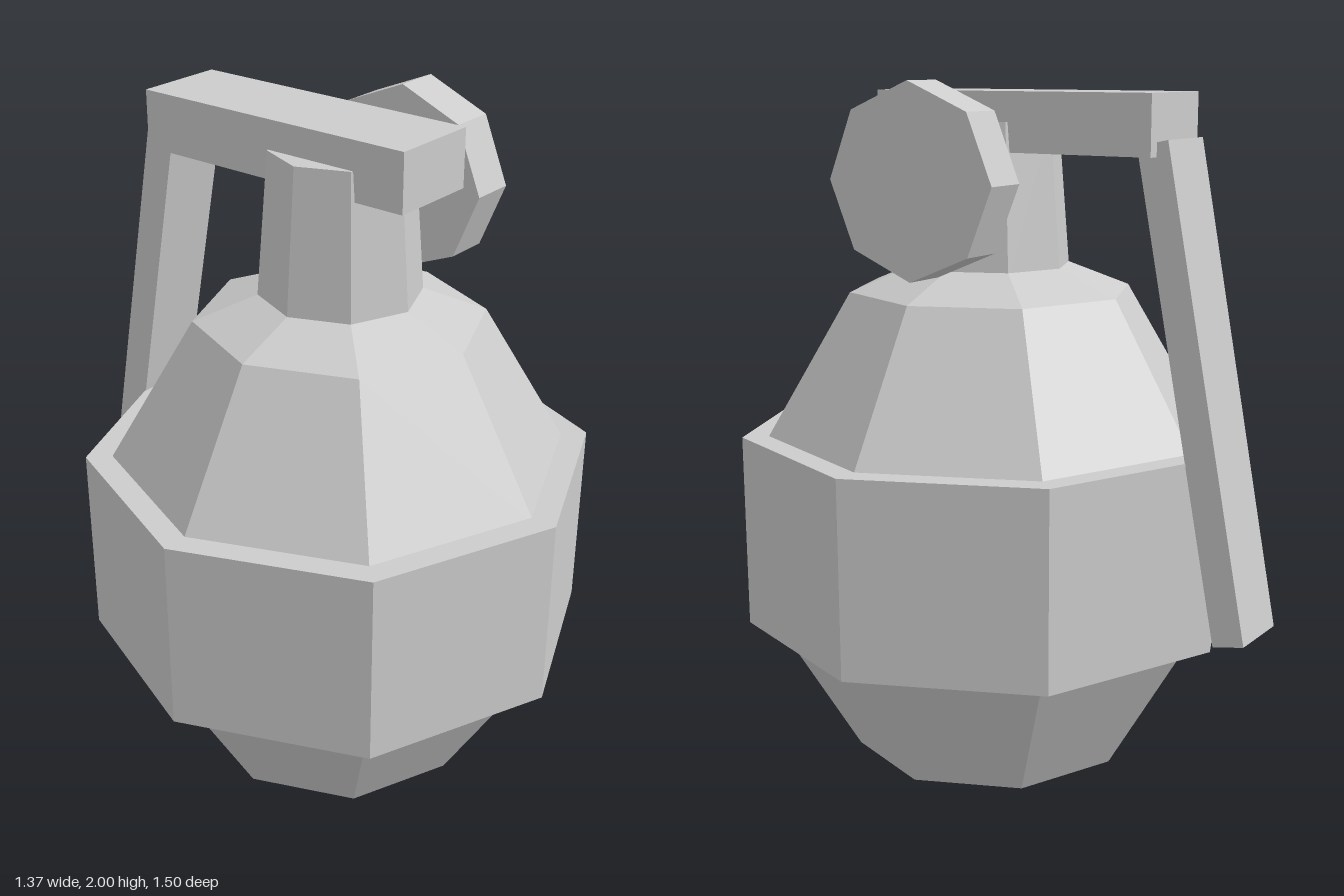
import * as THREE from 'three';

export function createModel() {
  const group = new THREE.Group();
  const grey = new THREE.MeshStandardMaterial({ color: 0xcccccc });
  grey.name = 'light grey';
  const axisZ = 0.07; // the body sits slightly forward of the lever

  function add(name, geometry, x, y, z) {
    // split vertices so every facet is flat
    const flat = geometry.index ? geometry.toNonIndexed() : geometry;
    flat.computeVertexNormals();
    const mesh = new THREE.Mesh(flat, grey);
    mesh.name = name;
    mesh.position.set(x, y, z);
    group.add(mesh);
    return mesh;
  }

  // faceted egg-shaped body
  const body = new THREE.SphereGeometry(0.8, 8, 5);
  body.scale(0.655 / 0.8, 1, 0.655 / 0.8);
  add('body', body, 0, 0.8, axisZ);

  // wide band round the middle
  add('band', new THREE.CylinderGeometry(0.684, 0.684, 0.525, 8), 0, 0.802, axisZ);

  // tapered neck, its foot sunk into the body
  add('neck', new THREE.CylinderGeometry(0.185, 0.217, 0.405, 8), 0, 1.692, axisZ);

  // block on top of the neck
  add('topBlock', new THREE.BoxGeometry(0.25, 0.153, 0.825), 0, 1.895, -0.062);

  // lever sloping down behind the body
  const lever = add('lever', new THREE.BoxGeometry(0.188, 1.274, 0.087), 0, 1.227, -0.585);
  lever.rotation.x = 0.194;

  // eight-sided disc beside the neck
  const disc = new THREE.CylinderGeometry(0.248, 0.248, 0.123, 8);
  disc.rotateZ(Math.PI / 2);
  add('sideDisc', disc, 0.31, 1.752, axisZ);

  return group;
}
